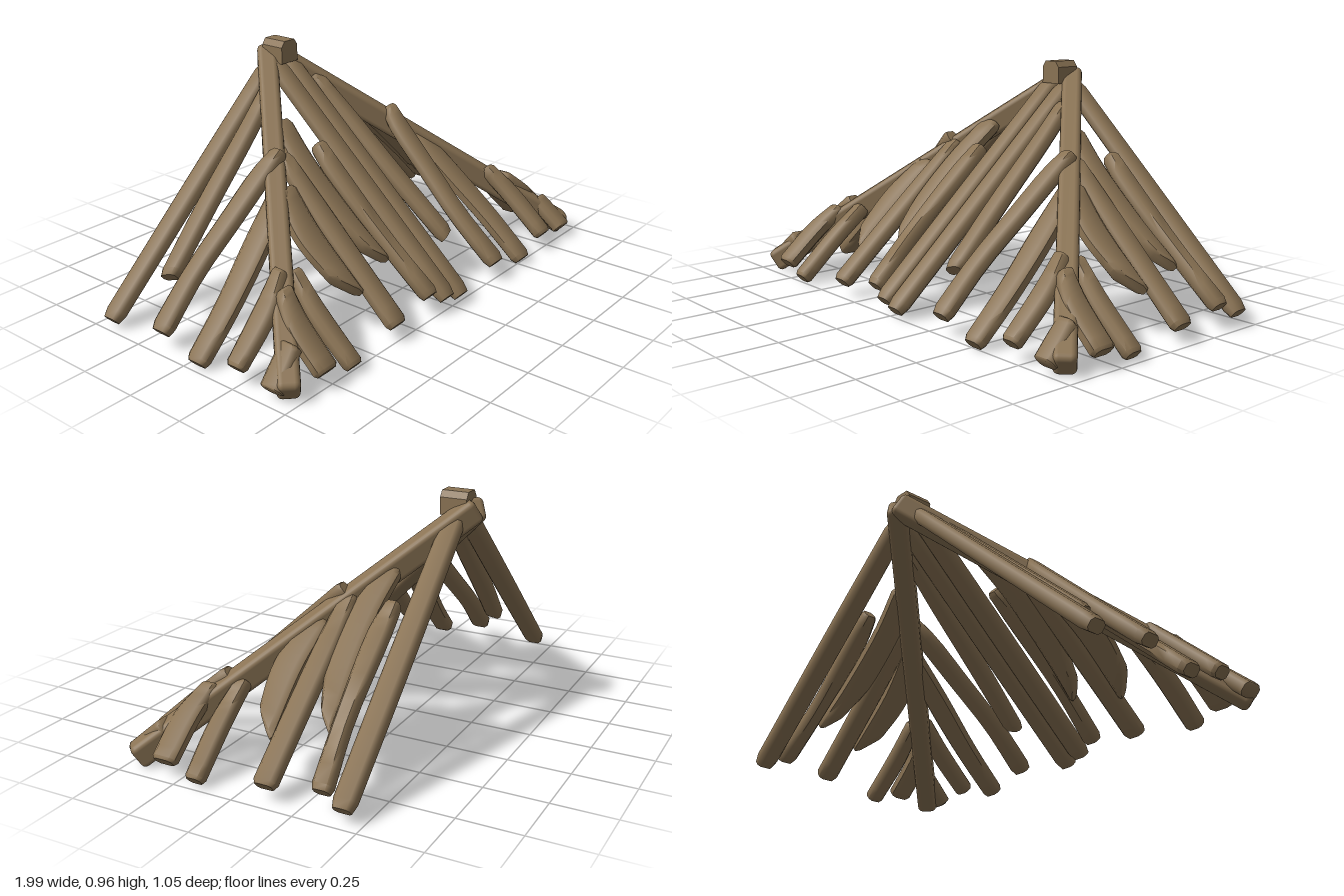
import * as THREE from 'three';
import { toCreasedNormals } from 'three/addons/utils/BufferGeometryUtils.js';
import { RoundedBoxGeometry } from 'three/addons/geometries/RoundedBoxGeometry.js';

const wood = new THREE.MeshStandardMaterial({ color: 0x8a7354 });
wood.name = 'weathered wood';

const SLOPE = 0.89, TOP = 0.925, BACK = -0.47, THICK = 0.06;

// Planks of one roof panel: points are [x, distance down from the ridge, width];
// lift raises the plank, skew slants a broken lower end.
const leftPlanks = [
  { pts: [[-0.73, 0.72, 0.07], [-0.77, 0.82, 0.1], [-0.78, 0.97, 0.1]], lift: 0.02 },
  { pts: [[-0.62, 0.67, 0.06], [-0.64, 0.8, 0.08], [-0.64, 0.98, 0.075]], lift: -0.01 },
  { pts: [[-0.42, 0.45, 0.1], [-0.46, 0.6, 0.12], [-0.45, 0.79, 0.1]], lift: 0, skew: 0.9 },
  { pts: [[-0.33, 0.36, 0.07], [-0.34, 0.55, 0.09], [-0.35, 0.8, 0.09], [-0.355, 0.96, 0.09]], lift: 0.01 },
  { pts: [[-0.22, 0.25, 0.1], [-0.25, 0.4, 0.11], [-0.25, 0.6, 0.11], [-0.22, 0.75, 0.08]], lift: 0, skew: 0.9 },
  { pts: [[-0.14, 0.38, 0.06], [-0.15, 0.48, 0.085], [-0.15, 0.75, 0.07], [-0.13, 0.95, 0.08]], lift: 0.03 },
  { pts: [[-0.04, 0.06, 0.085], [-0.04, 0.5, 0.09], [-0.04, 0.97, 0.085]], lift: 0.01 },
];
const rightPlanks = [
  { pts: [[0.045, 0.06, 0.085], [0.045, 0.5, 0.09], [0.045, 0.98, 0.085]], lift: 0 },
  { pts: [[0.12, 0.14, 0.07], [0.14, 0.3, 0.08], [0.16, 0.55, 0.085], [0.19, 0.8, 0.075]], lift: 0, skew: -0.3 },
  { pts: [[0.37, 0.35, 0.06], [0.35, 0.43, 0.09], [0.33, 0.6, 0.09], [0.31, 0.78, 0.085], [0.32, 0.97, 0.09]], lift: 0.03 },
  { pts: [[0.45, 0.43, 0.09], [0.48, 0.6, 0.11], [0.51, 0.8, 0.1], [0.52, 0.98, 0.09]], lift: -0.015 },
  { pts: [[0.67, 0.68, 0.06], [0.7, 0.8, 0.09], [0.71, 0.97, 0.08]], lift: 0.025 },
  { pts: [[0.86, 0.84, 0.08], [0.87, 0.9, 0.09], [0.88, 0.97, 0.09]], lift: 0 },
];

// Bevelled octagonal cross-section, loosely following the path down the slope
function plankGeometry({ pts, lift, skew = 0 }) {
  const curve = new THREE.CatmullRomCurve3(pts.map((p) => new THREE.Vector3(...p)));
  const section = [[0.5, -0.25], [0.5, 0.25], [0.32, 0.5], [-0.32, 0.5],
    [-0.5, 0.25], [-0.5, -0.25], [-0.32, -0.5], [0.32, -0.5]];
  const sides = section.length, steps = 10;
  const n = new THREE.Vector3(0, 1, SLOPE).normalize();
  const pos = [], idx = [];
  const ts = [0];
  for (let i = 0; i <= steps; i++) ts.push(0.04 + 0.93 * i / steps);
  ts.push(1);
  ts.forEach((t, i) => {
    const p = curve.getPoint(t);
    const end = i === 0 || i === ts.length - 1 ? 0.8 : 1;
    for (const [a, b] of section) {
      const u = a * p.z * end, v = b * THICK * end;
      const d = p.y + skew * u * t ** 4;
      pos.push(p.x + u, TOP - SLOPE * d + lift + n.y * v, d + n.z * v);
    }
  });
  for (let i = 0; i < ts.length - 1; i++) {
    for (let j = 0; j < sides; j++) {
      const a = i * sides + j, b = i * sides + (j + 1) % sides;
      idx.push(a, b, b + sides, a, b + sides, a + sides);
    }
  }
  const last = (ts.length - 1) * sides;
  for (let j = 1; j < sides - 1; j++) {
    idx.push(0, j + 1, j, last, last + j, last + j + 1);
  }
  const geo = new THREE.BufferGeometry();
  geo.setAttribute('position', new THREE.Float32BufferAttribute(pos, 3));
  geo.setIndex(idx);
  return toCreasedNormals(geo, 0.85);
}

function panel(name, planks, turn) {
  const group = new THREE.Group();
  group.name = name;
  for (const plank of planks) {
    const mesh = new THREE.Mesh(plankGeometry(plank), wood);
    mesh.name = plank.skew ? 'brokenPlank' : 'plank';
    group.add(mesh);
  }
  group.rotation.y = turn;
  group.position.z = BACK;
  return group;
}

export function createModel() {
  const model = new THREE.Group();
  model.name = 'ruinedRoofCorner';

  // Front slope, and its two halves turned to make the sides
  model.add(panel('frontPlanks', [...leftPlanks, ...rightPlanks], 0));
  model.add(panel('leftSidePlanks', leftPlanks, Math.PI / 2));
  model.add(panel('rightSidePlanks', rightPlanks, -Math.PI / 2));

  // Hip beams from the peak to the two front corners
  for (const side of [-1, 1]) {
    const top = new THREE.Vector3(0, 0.915, -0.49);
    const foot = new THREE.Vector3(side * 0.94, 0.055, 0.465);
    const beam = new THREE.Mesh(new RoundedBoxGeometry(0.085, 0.1, top.distanceTo(foot), 2, 0.022), wood);
    beam.name = side > 0 ? 'leftHipBeam' : 'rightHipBeam';
    beam.position.copy(top).lerp(foot, 0.5);
    beam.lookAt(foot);
    model.add(beam);
  }

  // Peak block with bevelled upper edges
  const s = new THREE.Shape();
  s.moveTo(-0.048, 0.885);
  s.lineTo(0.048, 0.885);
  s.lineTo(0.048, 0.955);
  s.lineTo(0.03, 0.98);
  s.lineTo(-0.03, 0.98);
  s.lineTo(-0.048, 0.955);
  const block = new THREE.Mesh(new THREE.ExtrudeGeometry(s, { depth: 0.11, bevelEnabled: false }), wood);
  block.name = 'peakBlock';
  block.position.z = -0.47;
  model.add(block);

  return model;
}
